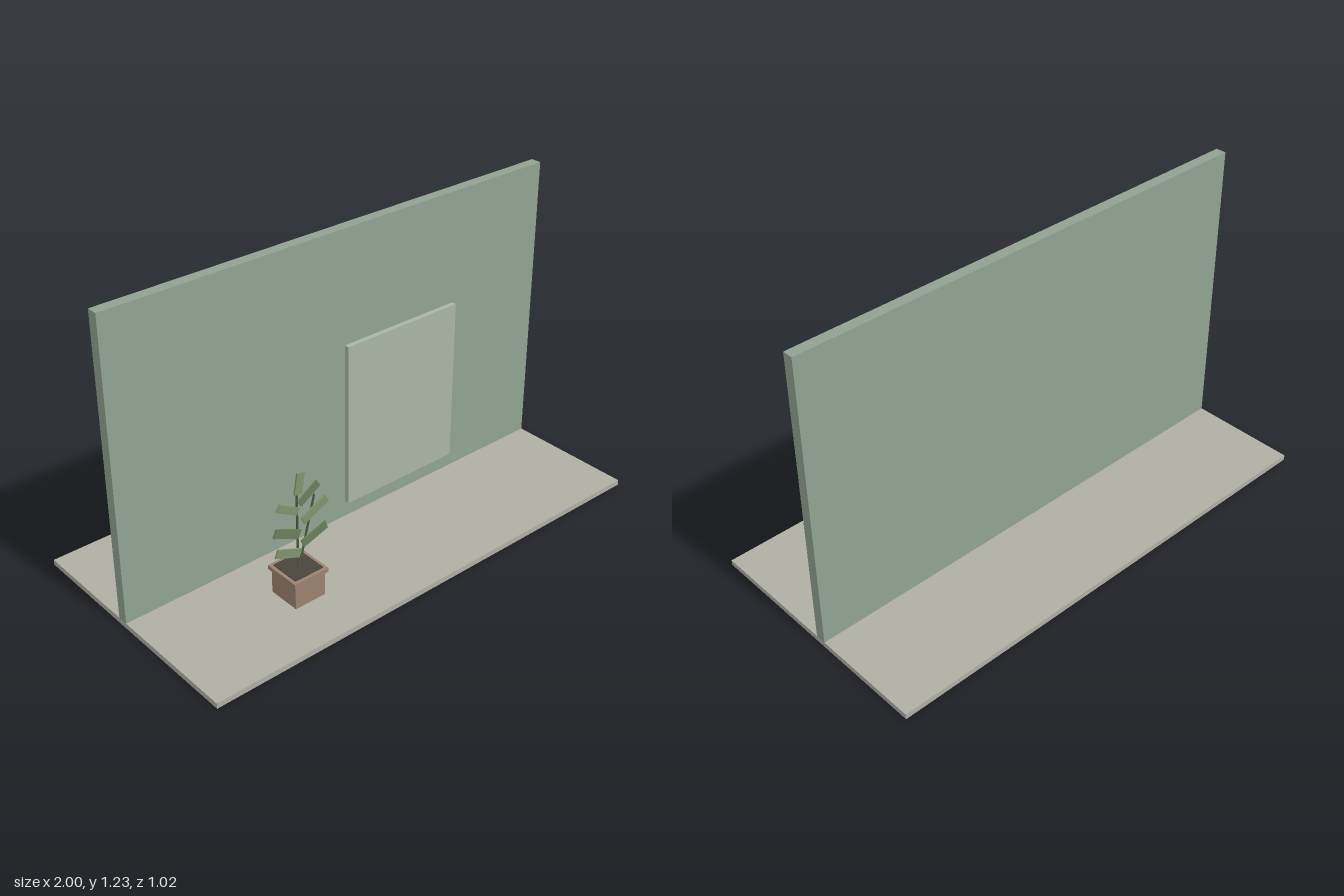
import * as THREE from 'three';

const mat = (color) => new THREE.MeshStandardMaterial({ color });

function box(name, material, size, pos, tilt = 0) {
  const mesh = new THREE.Mesh(new THREE.BoxGeometry(...size), material);
  mesh.name = name;
  mesh.position.set(...pos);
  mesh.rotation.z = THREE.MathUtils.degToRad(tilt);
  return mesh;
}

export function createModel() {
  const model = new THREE.Group();
  model.name = 'wallWithPlant';

  // Floor slab, upright wall and raised panel
  model.add(
    box('floor', mat(0xb0aea2), [2, 0.022, 1.02], [0, 0.011, 0]),
    box('wall', mat(0x90a291), [2, 1.203, 0.043], [0, 0.6235, -0.0435]),
    box('wallPanel', mat(0xa9b5a4), [0.544, 0.678, 0.02], [0.275, 0.429, -0.012])
  );

  // Potted plant, placed at the pot's centre
  const plant = new THREE.Group();
  plant.name = 'pottedPlant';
  plant.position.set(-0.437, 0, 0.235);
  model.add(plant);

  const clay = mat(0x9c816e);
  plant.add(
    box('pot', clay, [0.134, 0.1, 0.134], [0, 0.072, 0]),
    box('potRim', clay, [0.153, 0.016, 0.153], [0, 0.13, 0]),
    box('soil', mat(0x4b463b), [0.125, 0.004, 0.125], [0, 0.14, 0])
  );

  // Upright stem and one slanting branch
  const bark = mat(0x4c5940);
  const addStem = (name, from, to, radius) => {
    const a = new THREE.Vector3(...from), b = new THREE.Vector3(...to);
    const stem = new THREE.Mesh(new THREE.CylinderGeometry(radius, radius, a.distanceTo(b), 8), bark);
    stem.name = name;
    stem.position.copy(a).add(b).multiplyScalar(0.5);
    stem.quaternion.setFromUnitVectors(new THREE.Vector3(0, 1, 0), b.sub(a).normalize());
    plant.add(stem);
  };
  addStem('stem', [0, 0.138, 0], [0, 0.49, 0], 0.004);
  addStem('branch', [0.012, 0.175, 0.003], [0.075, 0.415, 0.003], 0.004);

  // Flat leaves: x, y, z, length, width, tilt in degrees
  const greens = [mat(0x7e936b), mat(0x667f5a)];
  const leaves = [
    [-0.048, 0.222, 0.008, 0.115, 0.034, -22],
    [0.063, 0.259, 0.016, 0.115, 0.034, 18],
    [-0.052, 0.307, 0.008, 0.12, 0.035, -24],
    [0.067, 0.361, 0.015, 0.12, 0.035, 25],
    [-0.046, 0.403, 0.007, 0.1, 0.03, -30],
    [0.044, 0.436, 0.011, 0.1, 0.03, 32],
    [0.008, 0.488, 0.005, 0.085, 0.034, 80]
  ];
  const shade = [0, 1, 1, 0, 0, 1, 0];
  leaves.forEach(([x, y, z, length, width, tilt], i) =>
    plant.add(box('leaf', greens[shade[i]], [length, width, 0.006], [x, y, z], tilt)));

  return model;
}
